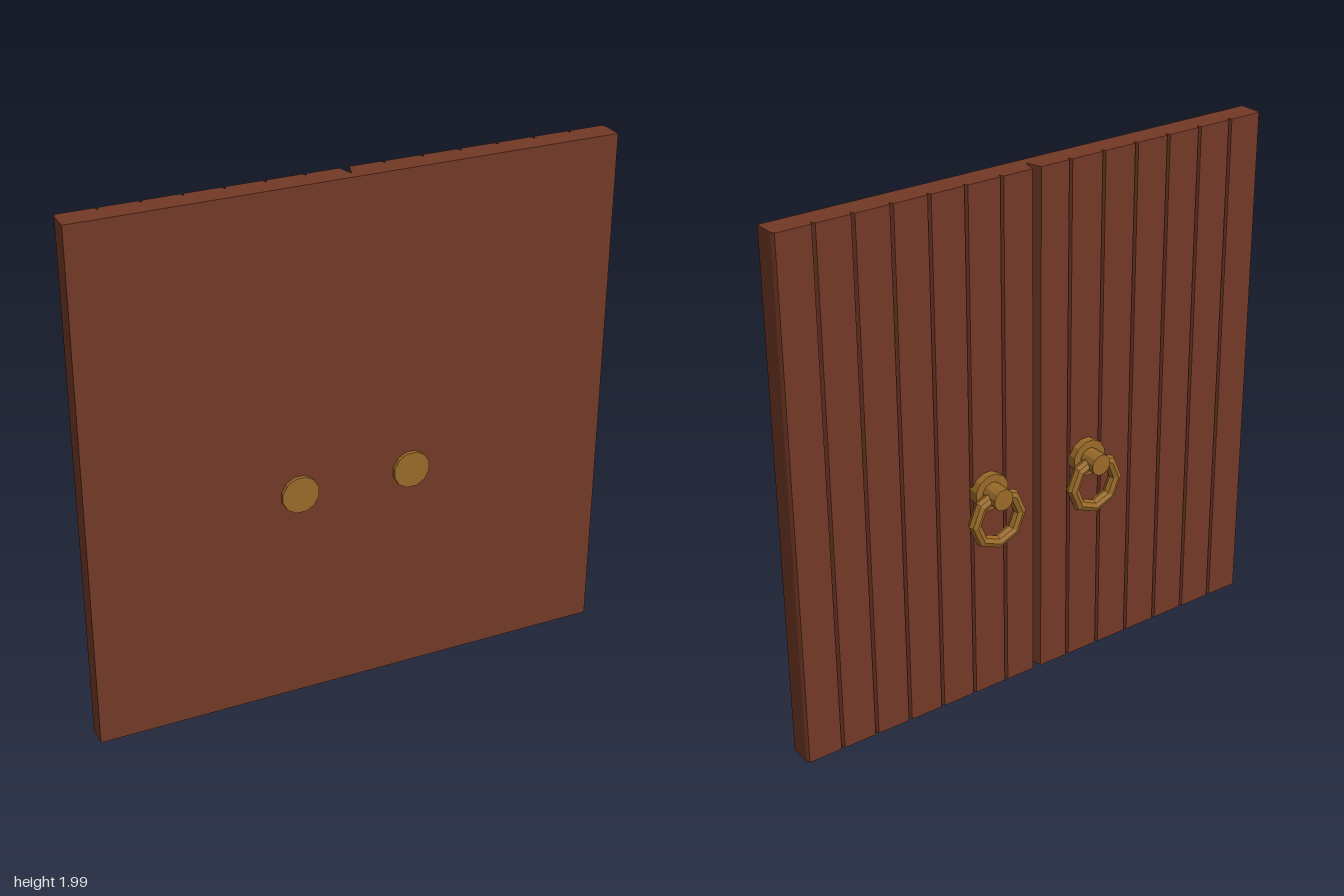
import * as THREE from 'three';

const wood = new THREE.MeshStandardMaterial({ color: 0x733926, flatShading: true });
const brass = new THREE.MeshStandardMaterial({ color: 0x9a6a28, flatShading: true });

const HEIGHT = 1.985, FRONT = 0.09, BACK = -0.006;
const PLANKS = 7, PLANK_W = 1 / PLANKS;

// One leaf: a plank cross-section with V grooves on the back, extruded upwards.
// Shape y is -z, so that rotating by -90 degrees about x stands it up.
function leafGeometry(side) {
  const pts = [[0, -FRONT], [1, -FRONT], [1, -BACK - 0.015], [0.994, -BACK]];
  for (let i = PLANKS - 1; i > 0; i--) {
    const x = i * PLANK_W;
    pts.push([x + 0.007, -BACK], [x, -BACK - 0.018], [x - 0.007, -BACK]);
  }
  // wide bevel where the two leaves meet
  pts.push([0.018, -BACK], [0, -0.055]);
  const shape = new THREE.Shape(pts.map(([x, y]) => new THREE.Vector2(side * x, y)));
  const geo = new THREE.ExtrudeGeometry(shape, { depth: HEIGHT, bevelEnabled: false });
  return geo.rotateX(-Math.PI / 2);
}

// Cylinder lying along z between two depths
function disc(name, radius, z0, z1) {
  const geo = new THREE.CylinderGeometry(radius, radius, z1 - z0, 12);
  geo.rotateY(Math.PI / 12).rotateX(Math.PI / 2);
  const mesh = new THREE.Mesh(geo, brass);
  mesh.name = name;
  mesh.position.z = (z0 + z1) / 2;
  return mesh;
}

function ringHandle() {
  const handle = new THREE.Group();
  handle.add(disc('mountingPlate', 0.071, -0.035, 0.105));
  handle.add(disc('knob', 0.041, -0.105, -0.03));
  // octagonal pull ring hanging from the knob
  const ring = new THREE.Mesh(new THREE.TorusGeometry(0.097, 0.024, 8, 8), brass);
  ring.name = 'pullRing';
  ring.position.set(0, -0.09, -0.062);
  handle.add(ring);
  return handle;
}

export function createModel() {
  const model = new THREE.Group();
  model.name = 'doubleDoor';
  for (const side of [-1, 1]) {
    const label = side > 0 ? 'left' : 'right';
    const leaf = new THREE.Mesh(leafGeometry(side), wood);
    leaf.name = label + 'DoorLeaf';
    const handle = ringHandle();
    handle.name = label + 'Handle';
    handle.position.set(side * 0.217, 0.84, 0);
    model.add(leaf, handle);
  }
  return model;
}
